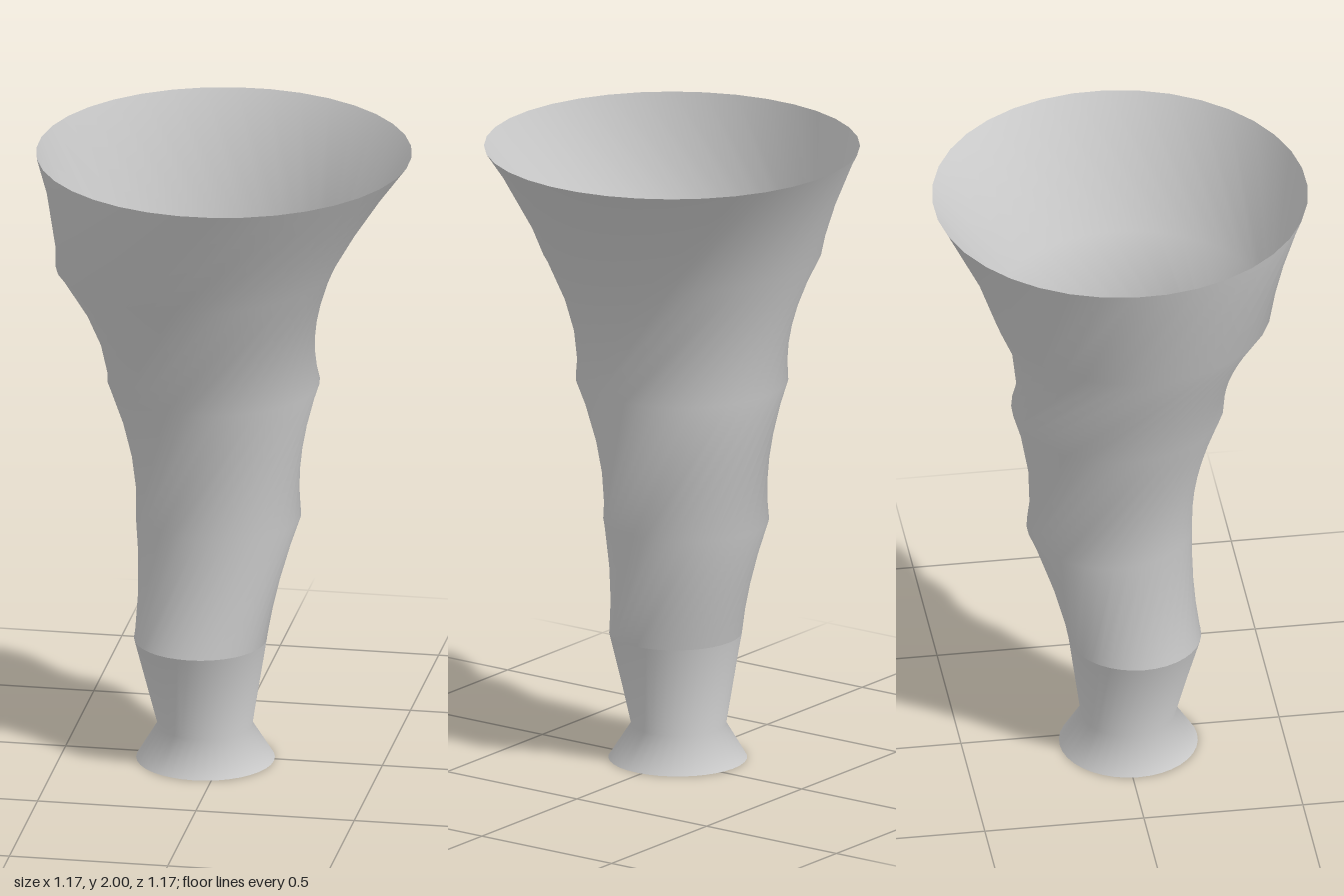
import * as THREE from 'three';

const SIDES = 36;
const material = new THREE.MeshStandardMaterial({ color: 0xcccccc, side: THREE.DoubleSide });

// Each ring: height, centre x, centre z, radius, rotation in degrees
const FOOT_RINGS = [
  [0, -0.055, 0.018, 0.216, 0],
  [0.11, -0.057, 0.016, 0.148, 0],
  [0.40, -0.068, 0.036, 0.207, -10],
];
const BODY_RINGS = [
  [0.40, -0.068, 0.036, 0.207, -10],
  [0.79, -0.024, -0.037, 0.258, -45],
  [1.24, -0.035, -0.013, 0.331, -93],
  [1.63, -0.088, 0.025, 0.433, -141],
  [2.00, 0, 0, 0.585, -166],
];

// Open skin through a stack of rings that twist against each other
function twistedSkin(name, rings) {
  const positions = [];
  const index = [];
  rings.forEach(([y, cx, cz, r, turn], j) => {
    for (let i = 0; i < SIDES; i++) {
      const a = (i / SIDES) * Math.PI * 2 + THREE.MathUtils.degToRad(turn);
      positions.push(cx + r * Math.cos(a), y, cz + r * Math.sin(a));
      if (j === 0) continue;
      const next = (i + 1) % SIDES;
      const low = (j - 1) * SIDES;
      const up = j * SIDES;
      index.push(low + next, low + i, up + i);
      index.push(low + next, up + i, up + next);
    }
  });
  const geometry = new THREE.BufferGeometry();
  geometry.setAttribute('position', new THREE.Float32BufferAttribute(positions, 3));
  geometry.setIndex(index);
  geometry.computeVertexNormals();
  const mesh = new THREE.Mesh(geometry, material);
  mesh.name = name;
  return mesh;
}

export function createModel() {
  const vase = new THREE.Group();
  vase.name = 'twistedVase';
  // Pinched foot below, flaring twisted body above, with a sharp seam between
  vase.add(twistedSkin('foot', FOOT_RINGS), twistedSkin('body', BODY_RINGS));
  return vase;
}
